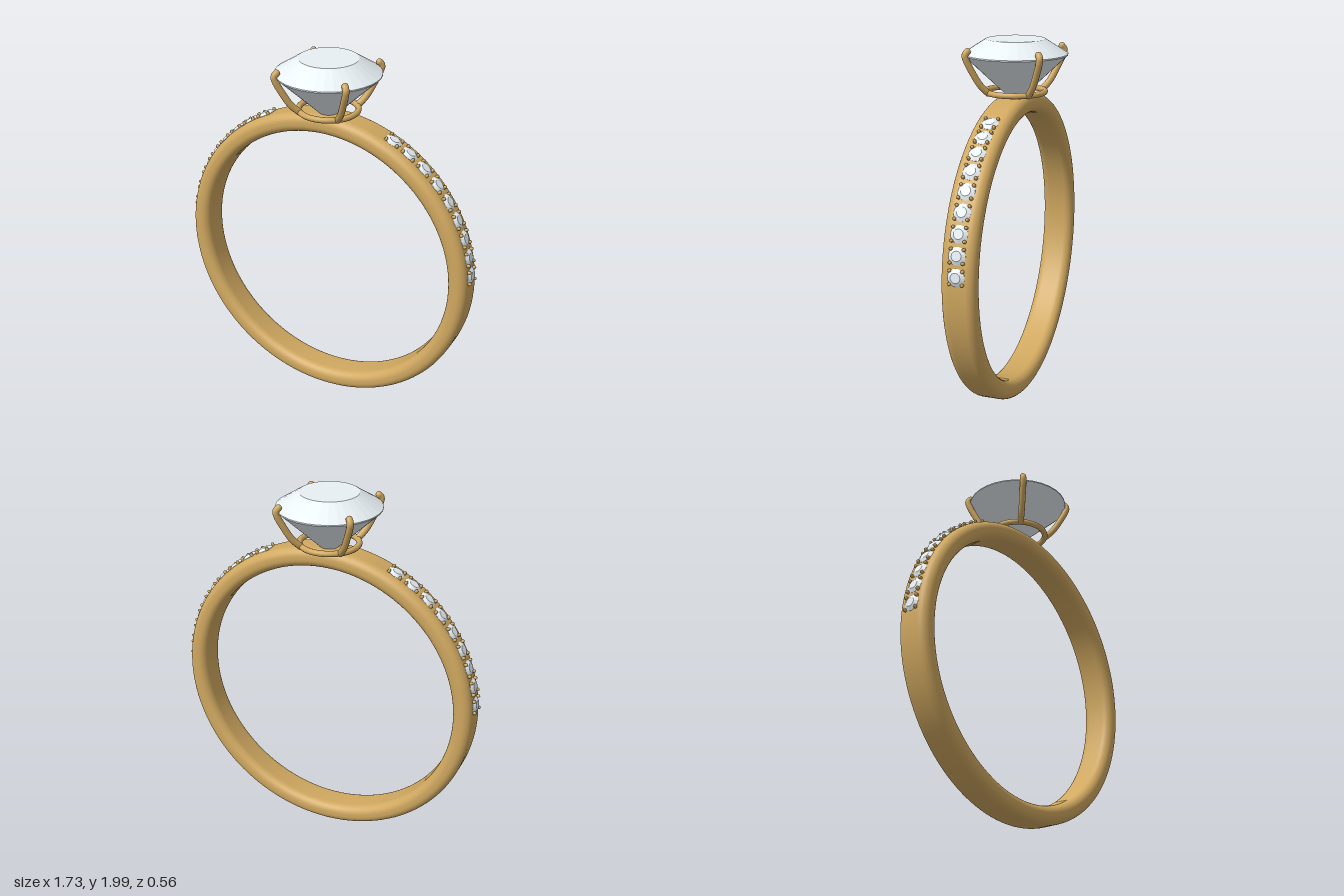
import * as THREE from 'three';

const gold = new THREE.MeshStandardMaterial({ color: 0xd0a860 });
const gemMaterial = new THREE.MeshStandardMaterial({ color: 0xe8f0f4, flatShading: true });

const CENTER_Y = 0.855;
const OUTER = 0.849;
const INNER = 0.744;
const HALF_WIDTH = 0.092;

function addMesh(parent, name, geometry, material) {
  const mesh = new THREE.Mesh(geometry, material);
  mesh.name = name;
  parent.add(mesh);
  return mesh;
}

// Faceted brilliant: pointed pavilion, thin girdle, crown and flat table
function brilliant(girdle, table, crown, pavilion, sides) {
  return new THREE.LatheGeometry([
    new THREE.Vector2(0, -pavilion),
    new THREE.Vector2(girdle, -crown * 0.04),
    new THREE.Vector2(girdle, crown * 0.04),
    new THREE.Vector2(table, crown),
    new THREE.Vector2(0, crown),
  ], sides);
}

// Band: rounded cross-section swept around the finger axis
function bandGeometry() {
  const radius = 0.046;
  const mid = (OUTER + INNER) / 2;
  const dr = (OUTER - INNER) / 2 - radius;
  const dz = HALF_WIDTH - radius;
  const points = [new THREE.Vector2(INNER, 0)];
  const corners = [[-1, -1, 180], [1, -1, 270], [1, 1, 0], [-1, 1, 90]];
  for (const [sr, sz, start] of corners) {
    for (let i = 0; i <= 8; i++) {
      const a = THREE.MathUtils.degToRad(start + i * 90 / 8);
      points.push(new THREE.Vector2(
        mid + sr * dr + radius * Math.cos(a),
        sz * dz + radius * Math.sin(a)));
    }
  }
  points.push(new THREE.Vector2(INNER, 0));
  return new THREE.LatheGeometry(points, 128).rotateX(Math.PI / 2);
}

// Claw: bent wire leaning outward, hooked over the girdle, with a round tip
function makeClaw() {
  const claw = new THREE.Group();
  claw.name = 'claw';
  const path = new THREE.CatmullRomCurve3([
    [0.16, 1.72], [0.205, 1.765], [0.252, 1.84], [0.285, 1.905], [0.29, 1.93], [0.276, 1.947],
  ].map(([r, y]) => new THREE.Vector3(r, y, 0)));
  addMesh(claw, 'clawWire', new THREE.TubeGeometry(path, 28, 0.018, 12), gold);
  for (const t of [0, 1]) {
    addMesh(claw, 'clawEnd', new THREE.SphereGeometry(0.018, 12, 10), gold)
      .position.copy(path.getPoint(t));
  }
  return claw;
}

// Small accent stone held by four beads
function makeAccent() {
  const accent = new THREE.Group();
  accent.name = 'accentSetting';
  addMesh(accent, 'accentStone', brilliant(0.046, 0.026, 0.013, 0.03, 16), gemMaterial);
  for (const x of [-1, 1]) {
    for (const z of [-1, 1]) {
      addMesh(accent, 'accentBead', new THREE.CapsuleGeometry(0.009, 0.014, 4, 8), gold)
        .position.set(x * 0.034, 0.001, z * 0.034);
    }
  }
  return accent;
}

export function createModel() {
  const ring = new THREE.Group();
  ring.name = 'ring';

  addMesh(ring, 'band', bandGeometry(), gold).position.y = CENTER_Y;

  // Head: base loop, four claws and the main stone
  const head = new THREE.Group();
  head.name = 'head';
  ring.add(head);
  const loop = addMesh(head, 'baseLoop', new THREE.TorusGeometry(0.157, 0.016, 12, 64), gold);
  loop.rotation.x = Math.PI / 2;
  loop.position.y = 1.72;
  for (let i = 0; i < 4; i++) {
    const claw = makeClaw();
    claw.rotation.y = Math.PI / 4 + i * Math.PI / 2;
    head.add(claw);
  }
  addMesh(head, 'mainStone', brilliant(0.28, 0.158, 0.08, 0.265, 32), gemMaterial)
    .position.y = 1.92;

  // Nine accent stones down each shoulder
  for (const side of [-1, 1]) {
    for (let i = 0; i < 9; i++) {
      const angle = side * THREE.MathUtils.degToRad(26.5 + i * 7.2);
      const accent = makeAccent();
      accent.position.set(
        Math.sin(angle) * (OUTER + 0.001), CENTER_Y + Math.cos(angle) * (OUTER + 0.001), 0);
      accent.rotation.z = -angle;
      ring.add(accent);
    }
  }
  return ring;
}
